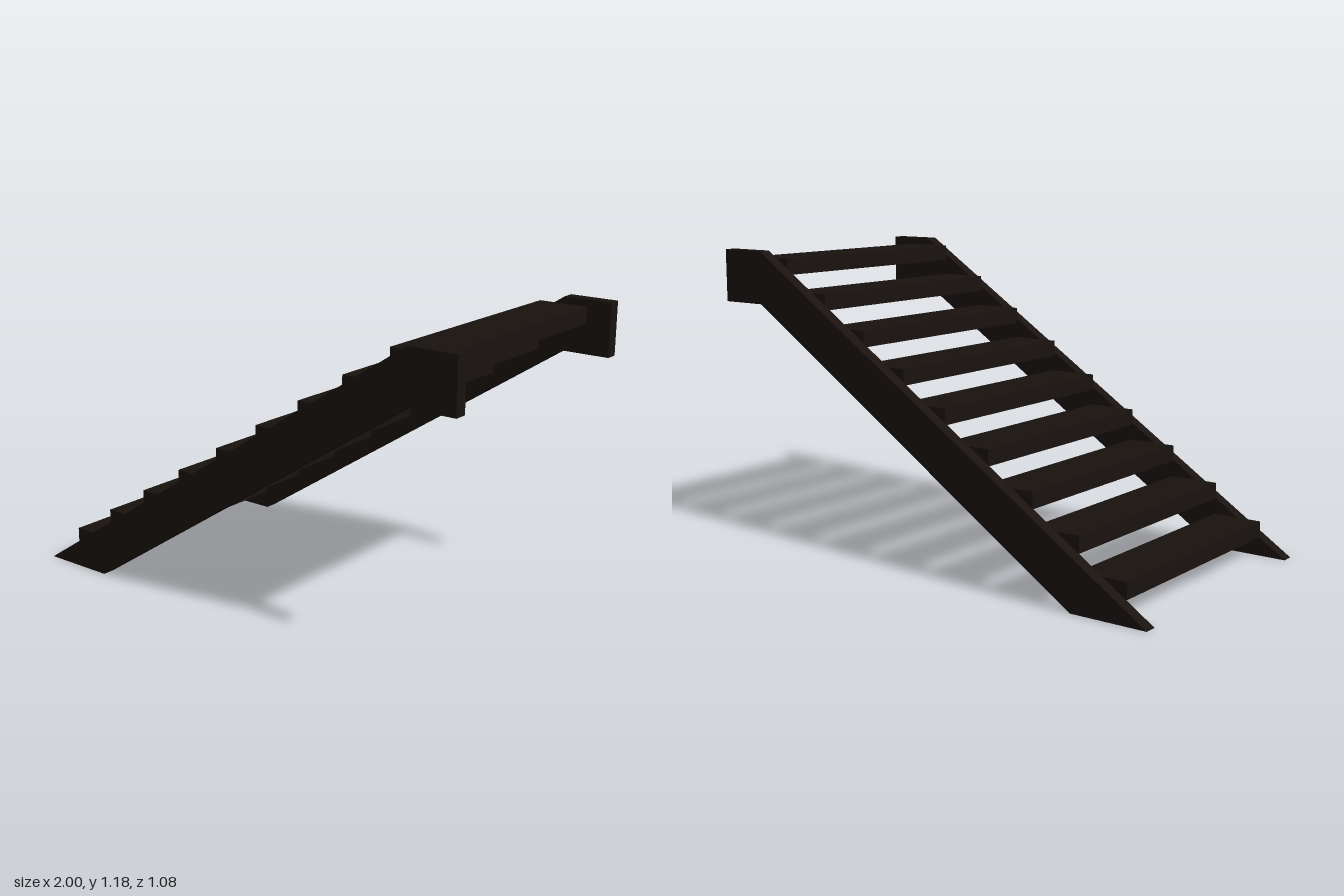
import * as THREE from 'three';

export function createModel() {
  const group = new THREE.Group();
  const wood = new THREE.MeshStandardMaterial({ color: 0x19120f });

  // Side stringers: sloped boards, cut level at the floor and at the landing
  const halfInner = 0.49, boardWidth = 0.05;
  const profile = new THREE.Shape([
    [-1, 0], [-0.69, 0], [0.805, 0.975], [1, 0.975], [1, 1.185], [0.805, 1.185],
  ].map(([x, y]) => new THREE.Vector2(x, y)));
  const stringerGeometry = new THREE.ExtrudeGeometry(profile, { depth: boardWidth, bevelEnabled: false });
  for (const [name, z] of [['frontStringer', halfInner], ['backStringer', -halfInner - boardWidth]]) {
    const stringer = new THREE.Mesh(stringerGeometry, wood);
    stringer.name = name;
    stringer.position.z = z;
    group.add(stringer);
  }

  // Open treads climbing between the stringers
  const count = 9, run = 0.1988, rise = 0.1272, depth = 0.2, thickness = 0.064;
  const treadGeometry = new THREE.BoxGeometry(depth, thickness, halfInner * 2);
  for (let i = 0; i < count; i++) {
    const tread = new THREE.Mesh(treadGeometry, wood);
    tread.name = `tread${i + 1}`;
    tread.position.set(-0.89 + depth / 2 + i * run, 0.139 - thickness / 2 + i * rise, 0);
    group.add(tread);
  }
  return group;
}
